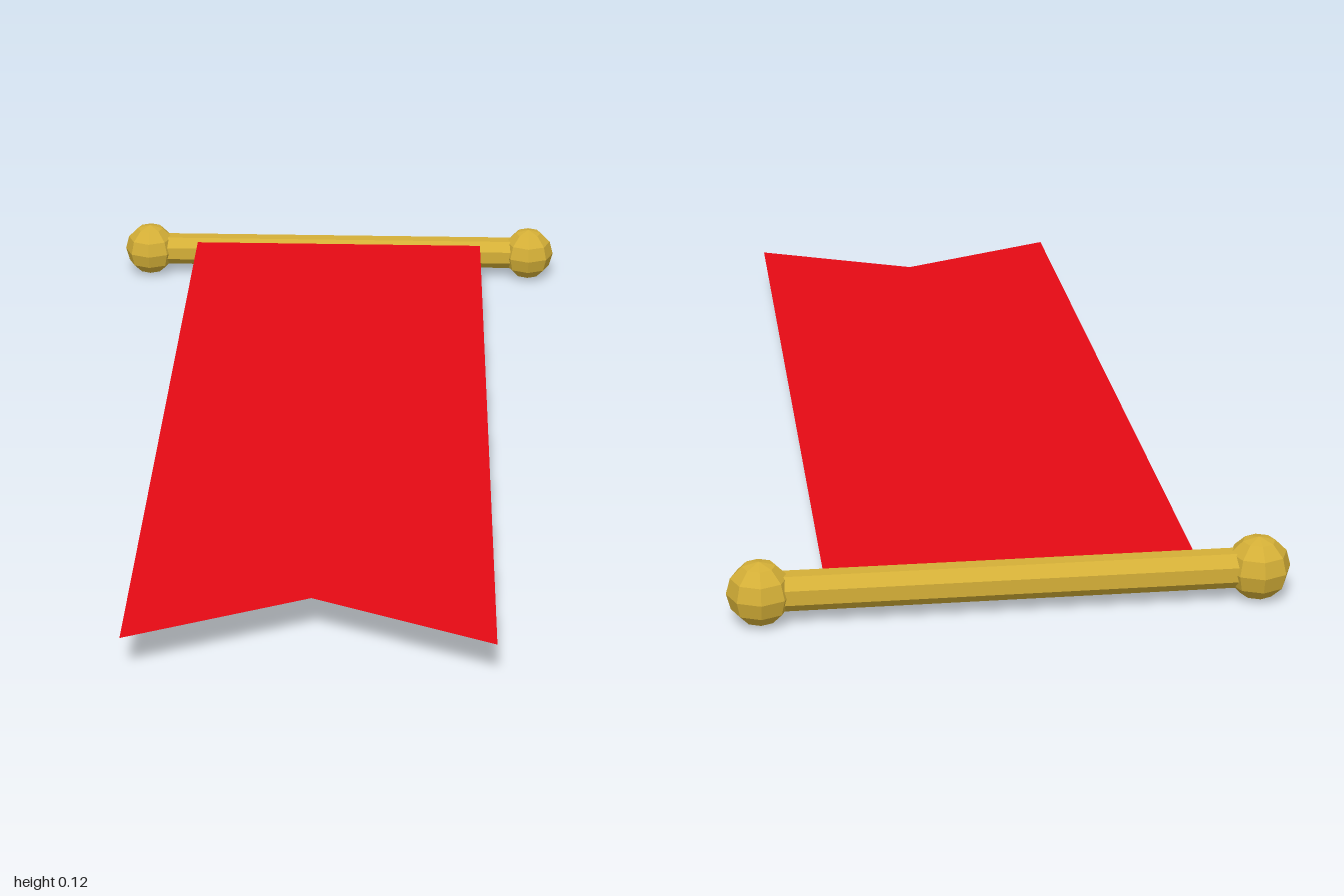
import * as THREE from 'three';

const ROD_Y = 0.063, ROD_Z = -0.938;

export function createModel() {
  const group = new THREE.Group();
  const gold = new THREE.MeshStandardMaterial({ color: 0xd4af37, flatShading: true });
  const red = new THREE.MeshStandardMaterial({ color: 0xe50914, side: THREE.DoubleSide });

  const add = (name, geometry, material, x, y, z) => {
    const mesh = new THREE.Mesh(geometry, material);
    mesh.name = name;
    mesh.position.set(x, y, z);
    group.add(mesh);
  };

  // Octagonal rod along x, flat faces turned up, down, front and back
  const rod = new THREE.CylinderGeometry(0.038, 0.038, 0.94, 8);
  rod.rotateY(Math.PI / 8).rotateZ(Math.PI / 2);
  add('rod', rod, gold, 0, ROD_Y, ROD_Z);

  // Ball at each end of the rod
  for (const side of [-1, 1]) {
    const ball = new THREE.SphereGeometry(0.0625, 8, 6);
    add(side > 0 ? 'leftFinial' : 'rightFinial', ball, gold, side * 0.472, ROD_Y, ROD_Z);
  }

  // Flat cloth with a swallowtail end, lying level from the rod towards the front
  const outline = new THREE.Shape([
    new THREE.Vector2(-0.352, 0.92),
    new THREE.Vector2(-0.352, -1),
    new THREE.Vector2(0, -0.84),
    new THREE.Vector2(0.352, -1),
    new THREE.Vector2(0.352, 0.92),
  ]);
  const cloth = new THREE.ShapeGeometry(outline).rotateX(-Math.PI / 2);
  add('cloth', cloth, red, 0, 0.09, 0);

  return group;
}
